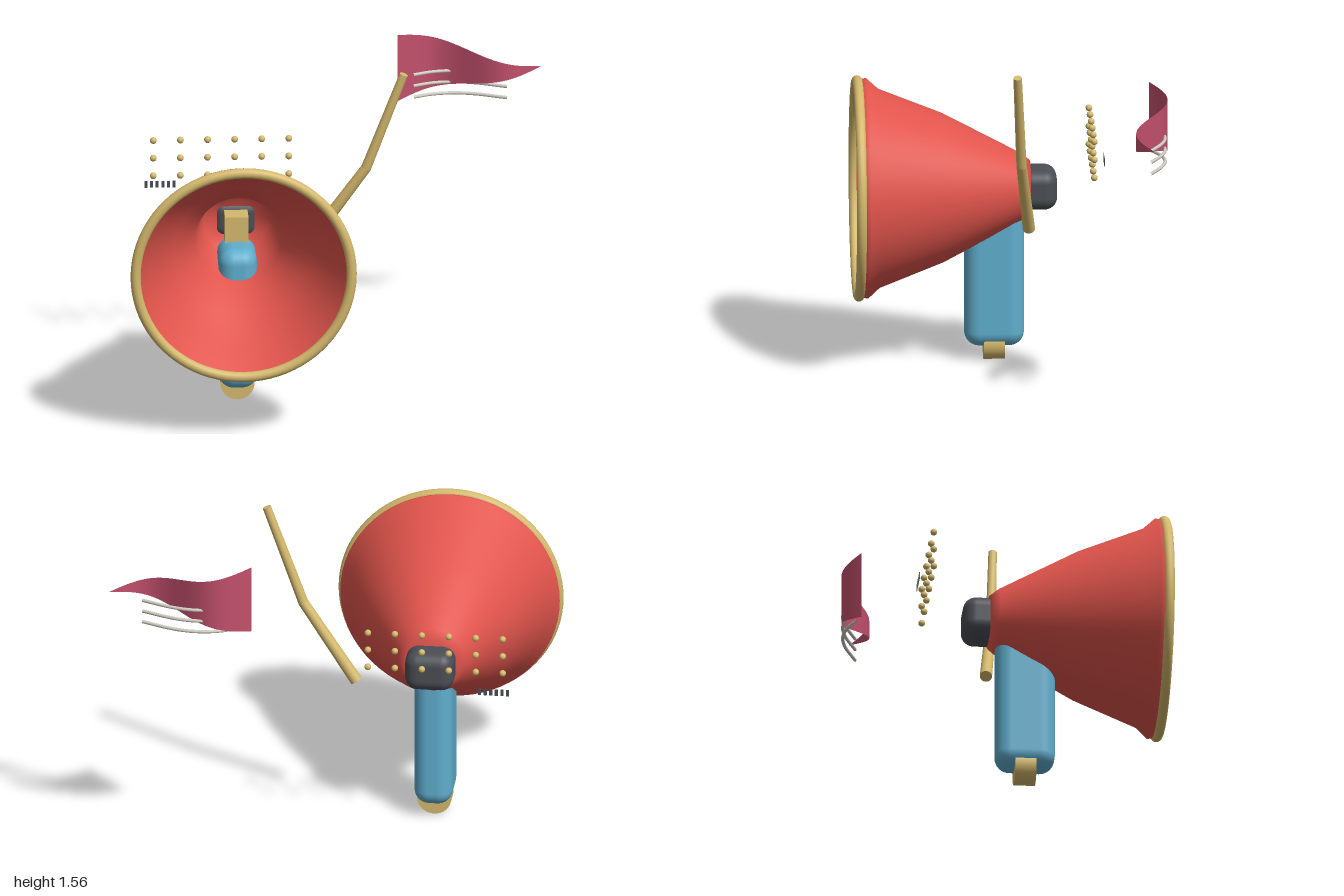
import * as THREE from 'three';
import { RoundedBoxGeometry } from 'three/addons/geometries/RoundedBoxGeometry.js';

const material = (name, color, side = THREE.FrontSide) => {
  const m = new THREE.MeshStandardMaterial({ color, side });
  m.name = name;
  return m;
};

export function createModel() {
  const model = new THREE.Group();
  model.name = 'megaphone';
  const red = material('red', 0xe0544c, THREE.DoubleSide);
  const gold = material('gold', 0xd4b86c);
  const blue = material('blue', 0x60aecd);
  const dark = material('charcoal', 0x4a4e54);
  const rose = material('rose', 0xc2506c, THREE.DoubleSide);
  const cream = material('pale grey', 0xd0ccc0);

  const add = (name, geometry, mat, x = 0, y = 0, z = 0) => {
    const mesh = new THREE.Mesh(geometry, mat);
    mesh.name = name;
    mesh.position.set(x, y, z);
    model.add(mesh);
    return mesh;
  };
  const CX = -0.47, CY = 0.827;

  // Horn: outer wall, lip, then inner wall back to the throat (radius, z)
  const profile = [
    [0, -0.11], [0.125, -0.11], [0.16, -0.065], [0.35, 0.3], [0.467, 0.6], [0.517, 0.655], [0.51, 0.69],
    [0.49, 0.69], [0.43, 0.56], [0.31, 0.37], [0.205, 0.2], [0.15, -0.07], [0, -0.07],
  ].map(([r, z]) => new THREE.Vector2(r, z));
  add('horn', new THREE.LatheGeometry(profile, 64).rotateX(Math.PI / 2), red, CX, CY, 0);
  add('hornRim', new THREE.TorusGeometry(0.506, 0.024, 14, 80), gold, CX, CY, 0.697);

  // Body parts around the throat
  add('rearCap', new RoundedBoxGeometry(0.23, 0.19, 0.175, 5, 0.06), dark, CX, CY, -0.147);
  add('throatBlock', new THREE.BoxGeometry(0.11, 0.15, 0.11), gold, CX, 0.805, -0.01);
  add('handle', new RoundedBoxGeometry(0.18, 0.69, 0.28, 5, 0.07), blue, CX, 0.415, 0.06);
  add('handleFoot', new THREE.CylinderGeometry(0.08, 0.08, 0.1, 32).rotateX(Math.PI / 2), gold, CX, 0.08, 0.06);

  // Bent pole, made of two tapering rods with a rounded joint
  const rod = (name, a, b, r0, r1) => {
    const dir = b.clone().sub(a);
    const mid = a.clone().add(b).multiplyScalar(0.5);
    const mesh = add(name, new THREE.CylinderGeometry(r1, r0, dir.length(), 20), gold, mid.x, mid.y, mid.z);
    mesh.quaternion.setFromUnitVectors(new THREE.Vector3(0, 1, 0), dir.normalize());
  };
  const base = new THREE.Vector3(-0.115, 0.715, -0.09);
  const bend = new THREE.Vector3(0.14, 1.085, -0.045);
  const tip = new THREE.Vector3(0.315, 1.555, -0.02);
  rod('poleLower', base, bend, 0.029, 0.024);
  rod('poleUpper', bend, tip, 0.024, 0.02);
  add('poleJoint', new THREE.SphereGeometry(0.024, 20, 14), gold, bend.x, bend.y, bend.z);

  // Waving triangular pennant, narrowing to its tip
  const pennant = new THREE.PlaneGeometry(1, 1, 48, 4);
  const p = pennant.attributes.position;
  for (let i = 0; i < p.count; i++) {
    const t = p.getX(i) + 0.5;
    p.setXYZ(i, 0.315 + 0.675 * t, 1.365 + p.getY(i) * 0.33 * (1 - t), -0.635 - 0.08 * Math.sin(t * Math.PI * 2));
  }
  pennant.computeVertexNormals();
  add('pennant', pennant, rose);

  // Three curved trim cords beside the pennant
  for (const y of [1.215, 1.27, 1.325]) {
    const curve = new THREE.CatmullRomCurve3([
      [0.39, -0.65], [0.48, -0.688], [0.58, -0.7], [0.68, -0.682], [0.83, -0.62],
    ].map(([x, z]) => new THREE.Vector3(x, y, z)));
    add('pennantCord', new THREE.TubeGeometry(curve, 32, 0.008, 10), cream);
  }

  // Grid of studs behind the horn
  for (let row = 0; row < 3; row++) {
    for (let col = 0; col < 6; col++) {
      add('stud', new THREE.SphereGeometry(0.016, 14, 10), gold, -0.84 + col * 0.127, 0.935 + row * 0.0875, -0.4);
    }
  }

  // Row of tiny plain marks below the studs
  for (let i = 0; i < 6; i++) {
    add('smallMark', new THREE.BoxGeometry(0.014, 0.032, 0.003), dark, -0.87 + i * 0.026, 0.867, -0.47);
  }
  return model;
}
